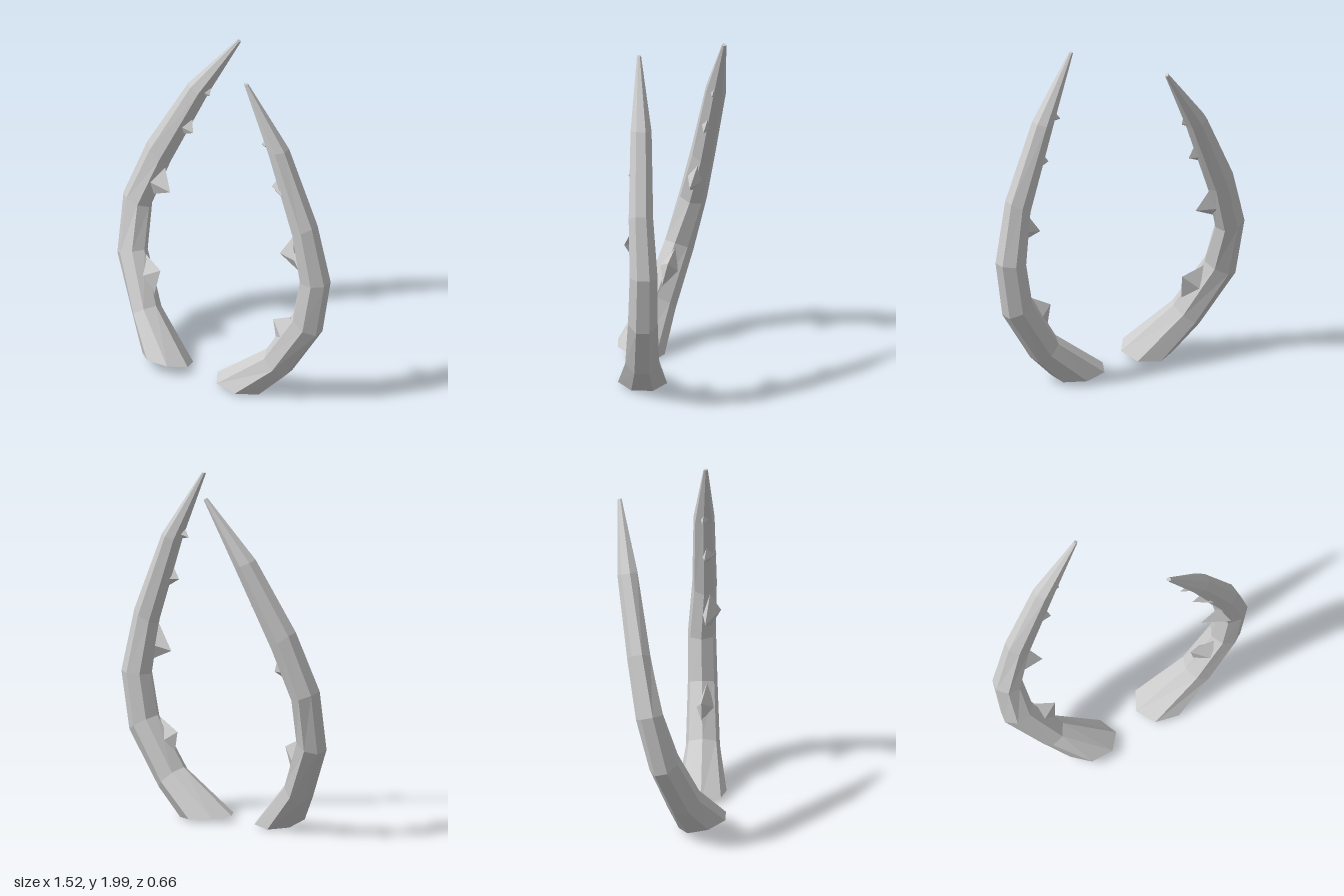
import * as THREE from 'three';

const SIDES = 7;
const material = new THREE.MeshStandardMaterial({ color: 0xcccccc, flatShading: true, side: THREE.DoubleSide });

function meshFrom(triangles, name) {
  const geometry = new THREE.BufferGeometry().setFromPoints(triangles);
  geometry.computeVertexNormals();
  const mesh = new THREE.Mesh(geometry, material);
  mesh.name = name;
  return mesh;
}

// Seven-sided ring with one corner on the inner edge of the curve
function ring([innerX, innerY, outerX, outerY, z, halfDepth], side, yaw, across) {
  const inner = new THREE.Vector3(innerX, innerY, 0);
  const centre = inner.clone().lerp(new THREE.Vector3(outerX, outerY, 0), 0.526);
  const u = inner.sub(centre);
  u.z = -yaw * u.x;
  centre.z = z;
  return Array.from({ length: SIDES }, (_, i) => {
    const a = (i / SIDES) * Math.PI * 2;
    return centre.clone()
      .addScaledVector(u, Math.cos(a))
      .addScaledVector(across, side * halfDepth * 1.025 * Math.sin(a));
  });
}

// Curved tapering body, open at the root and closed at the point
function body(rings, name) {
  const tris = [];
  for (let k = 0; k < rings.length - 1; k++) {
    for (let i = 0; i < SIDES; i++) {
      const j = (i + 1) % SIDES, a = rings[k], b = rings[k + 1];
      tris.push(a[i], a[j], b[j], a[i], b[j], b[i]);
    }
  }
  const end = rings[rings.length - 1];
  for (let i = 1; i < SIDES - 1; i++) tris.push(end[0], end[i], end[i + 1]);
  return meshFrom(tris, name);
}

// Four-sided pyramid tooth, its base sunk into the body
function tooth([tipX, tipY, upX, upY, lowX, lowY, halfWidth], zAt, side, across, name) {
  const sink = side * 0.025;
  const tip = new THREE.Vector3(tipX, tipY, zAt(tipY));
  const up = new THREE.Vector3(upX + sink, upY, zAt(upY));
  const low = new THREE.Vector3(lowX + sink, lowY, zAt(lowY));
  const mid = up.clone().lerp(low, 0.55);
  mid.x += sink;
  const a = mid.clone().addScaledVector(across, side * halfWidth);
  const b = mid.clone().addScaledVector(across, -side * halfWidth);
  return meshFrom([tip, a, up, tip, low, a, tip, b, low, tip, up, b], name);
}

function mandible({ name, side, yaw, across, rings, teeth, zAt }) {
  const group = new THREE.Group();
  group.name = name;
  group.add(body(rings.map((r) => ring(r, side, yaw, across)), name + 'Body'));
  teeth.forEach((t, i) => group.add(tooth(t, zAt, side, across, name + 'Tooth' + (i + 1))));
  return group;
}

export function createModel() {
  const model = new THREE.Group();
  model.name = 'mandibles';

  // rings: inner x, y, outer x, y, centre z, half depth
  // teeth: tip x, y, upper base x, y, lower base x, y, half width
  model.add(mandible({
    name: 'leftMandible', side: 1, yaw: 0.2,
    across: new THREE.Vector3(0.2, 0.02, 0.98),
    zAt: (y) => 0.01 + 0.02 * y,
    rings: [
      [0.05, 0.04, 0.355, 0.013, 0.07, 0.14],
      [0.37, 0.29, 0.51, 0.17, 0.02, 0.097],
      [0.54, 0.575, 0.705, 0.485, -0.025, 0.085],
      [0.58, 0.81, 0.755, 0.82, -0.04, 0.08],
      [0.545, 1.1, 0.685, 1.18, -0.012, 0.07],
      [0.39, 1.6, 0.505, 1.63, 0.025, 0.06],
      [0.24, 2.0, 0.265, 2.0, 0.082, 0.012],
    ],
    teeth: [
      [0.405, 0.49, 0.52, 0.56, 0.41, 0.31, 0.06],
      [0.465, 0.95, 0.545, 1.1, 0.585, 0.89, 0.055],
      [0.41, 1.37, 0.435, 1.44, 0.495, 1.31, 0.045],
      [0.335, 1.62, 0.36, 1.69, 0.39, 1.605, 0.035],
    ],
  }));

  model.add(mandible({
    name: 'rightMandible', side: -1, yaw: 0,
    across: new THREE.Vector3(0, 0.26, 0.97),
    zAt: (y) => 0.2 - 0.265 * y,
    rings: [
      [-0.1, 0.05, -0.395, 0.04, 0.19, 0.14],
      [-0.4, 0.31, -0.54, 0.2, 0.13, 0.097],
      [-0.56, 0.585, -0.735, 0.51, 0.055, 0.085],
      [-0.595, 0.82, -0.76, 0.86, -0.022, 0.08],
      [-0.515, 1.1, -0.655, 1.2, -0.105, 0.07],
      [-0.33, 1.57, -0.45, 1.61, -0.22, 0.06],
      [-0.16, 1.945, -0.18, 1.955, -0.32, 0.012],
    ],
    teeth: [
      [-0.425, 0.505, -0.55, 0.57, -0.415, 0.335, 0.06],
      [-0.46, 0.955, -0.515, 1.1, -0.59, 0.89, 0.055],
      [-0.375, 1.335, -0.385, 1.44, -0.46, 1.29, 0.045],
      [-0.305, 1.58, -0.285, 1.65, -0.335, 1.555, 0.035],
    ],
  }));
  return model;
}
